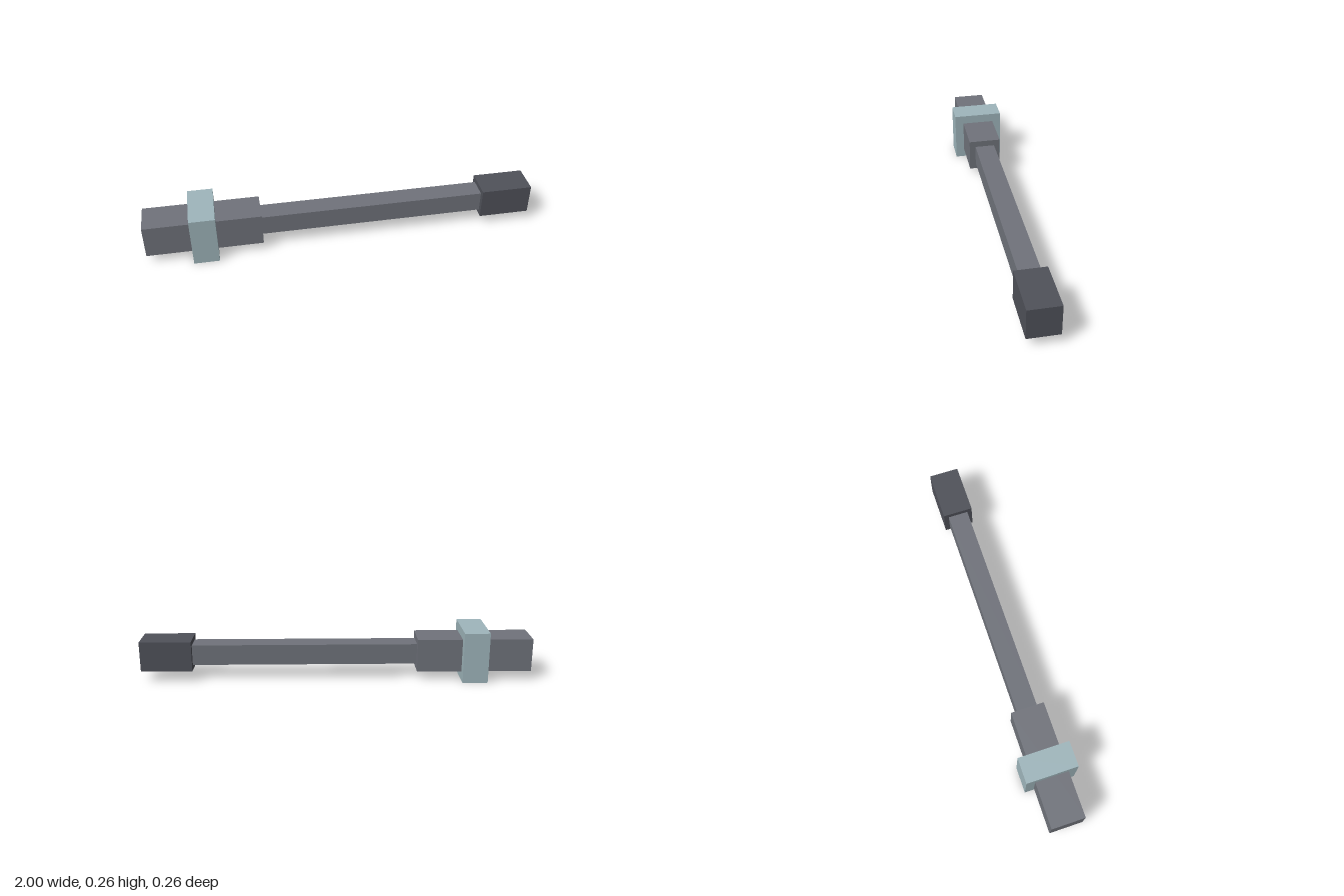
import * as THREE from 'three';

export function createModel() {
  const model = new THREE.Group();
  model.name = 'rod';

  const material = (name, color) => {
    const m = new THREE.MeshStandardMaterial({ color });
    m.name = name;
    return m;
  };
  const grey = material('steel grey', 0x70737b);
  const dark = material('dark grey', 0x50525a);
  const pale = material('pale blue', 0x9fb6bc);

  const axisY = 0.131; // height of the common axis

  // Square bar running along x from x0 to x1
  const bar = (name, x0, x1, size, mat) => {
    const mesh = new THREE.Mesh(new THREE.BoxGeometry(x1 - x0, size, size), mat);
    mesh.name = name;
    mesh.position.set((x0 + x1) / 2, axisY, 0);
    model.add(mesh);
  };

  bar('head', -1, -0.412, 0.17, grey);
  bar('collar', -0.77, -0.641, 0.262, pale);
  bar('shaft', -0.412, 0.738, 0.105, grey);
  bar('endCap', 0.738, 1, 0.156, dark);

  return model;
}
